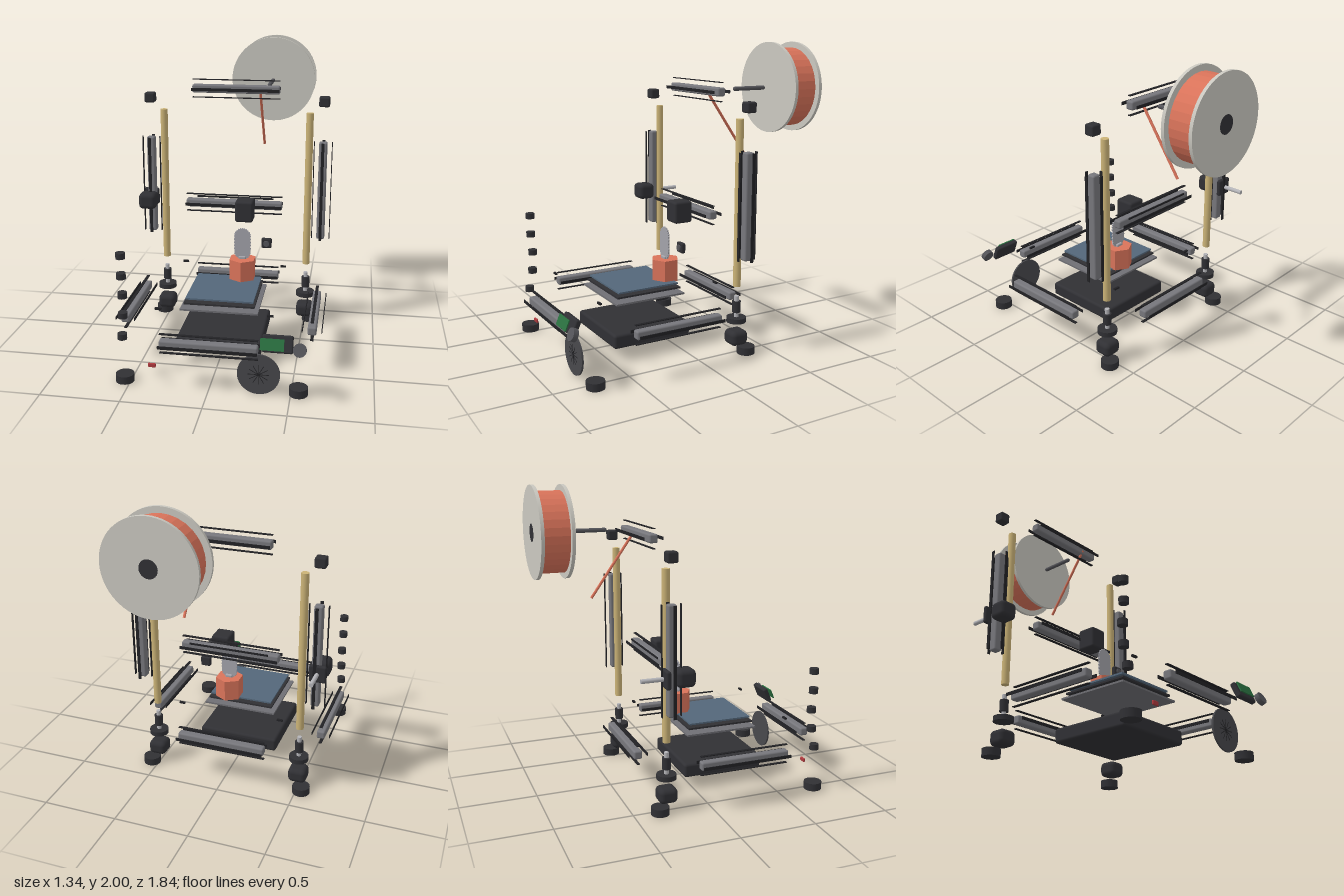
import * as THREE from 'three';
import { RoundedBoxGeometry } from 'three/addons/geometries/RoundedBoxGeometry.js';

const CX = 0.005; // centre line of the frame
const BED_Z = 0.21;
const POST_Z = -0.28;

const mat = (color, extra = {}) => new THREE.MeshStandardMaterial({ color, ...extra });
const M = {
  black: mat(0x303034),
  rail: mat(0x77777c),
  strip: mat(0x222225),
  steel: mat(0xb4b4b8),
  brass: mat(0xcbb377),
  orange: mat(0xd9735a, { flatShading: true }),
  flange: mat(0xcac8c0),
  plate: mat(0x6f6f74),
  glass: mat(0x53677a),
  green: mat(0x2a7040),
  red: mat(0xb03a3e),
  knob: mat(0x55555a),
  silver: mat(0xa3a3aa),
  disc: mat(0x48484c),
};

export function createModel() {
  const root = new THREE.Group();

  const add = (name, geometry, material, x, y, z, parent = root) => {
    const mesh = new THREE.Mesh(geometry, material);
    mesh.name = name;
    mesh.position.set(x, y, z);
    parent.add(mesh);
    return mesh;
  };
  const box = (name, w, h, d, material, x, y, z, parent) =>
    add(name, new THREE.BoxGeometry(w, h, d), material, x, y, z, parent);
  const soft = (name, w, h, d, r, material, x, y, z, parent) =>
    add(name, new RoundedBoxGeometry(w, h, d, 3, r), material, x, y, z, parent);
  // Cylinder along the chosen axis
  const rod = (name, r, length, axis, material, x, y, z, parent, sides = 24) => {
    const g = new THREE.CylinderGeometry(r, r, length, sides);
    if (axis === 'x') g.rotateZ(Math.PI / 2);
    if (axis === 'z') g.rotateX(Math.PI / 2);
    return add(name, g, material, x, y, z, parent);
  };

  // Frame rail with four slot strips floating off its sides
  const rail = (name, length, axis, x, y, z) => {
    const g = new THREE.Group();
    g.name = name;
    soft('railBody', length, 0.056, 0.056, 0.012, M.rail, 0, 0, 0, g);
    for (let i = 0; i < 4; i++) {
      const a = (i * Math.PI) / 2;
      const s = box('slotStrip', length, 0.005, 0.02, M.strip,
        0, 0.061 * Math.cos(a), 0.061 * Math.sin(a), g);
      s.rotation.x = a;
    }
    if (axis === 'y') g.rotation.z = Math.PI / 2;
    if (axis === 'z') g.rotation.y = Math.PI / 2;
    g.position.set(x, y, z);
    root.add(g);
  };
  rail('frontBaseRail', 0.6, 'x', CX, 0.31, 0.81);
  rail('backBaseRail', 0.6, 'x', CX, 0.31, -0.395);
  rail('topRail', 0.6, 'x', CX, 1.69, POST_Z);
  rail('gantryRail', 0.67, 'x', CX, 0.9, -0.205);
  box('gantryBelt', 0.54, 0.012, 0.006, M.strip, CX, 0.932, -0.25);

  // Both sides of the frame
  for (const s of [-1, 1]) {
    const x = CX + s * 0.6;
    const screwX = CX + s * 0.505;
    rail('sideBaseRail', 0.6, 'z', x, 0.31, BED_Z);
    rail('uprightRail', 0.69, 'y', x, 1.0, POST_Z);
    soft('cornerCap', 0.072, 0.068, 0.068, 0.012, M.black, x, 1.62, POST_Z);

    // Lift screw drive
    rod('liftScrew', 0.025, 1.08, 'y', M.brass, screwX, 1.0, POST_Z);
    rod('couplerShaft', 0.015, 0.145, 'y', M.steel, screwX, 0.322, POST_Z);
    rod('coupler', 0.028, 0.076, 'y', M.black, screwX, 0.322, POST_Z);
    rod('motorMount', 0.064, 0.032, 'y', M.black, screwX, 0.236, POST_Z);
    soft('liftMotor', 0.122, 0.098, 0.122, 0.032, M.black, screwX, 0.116, POST_Z);

    for (const z of [-0.335, 0.747])
      rod('foot', 0.058, 0.05, 'y', M.black, CX + s * 0.541, 0.03, z);
    for (const z of [-0.215, 0.625])
      box('bedClip', 0.04, 0.012, 0.014, M.strip, CX + s * 0.35, 0.451, z);
  }

  // Heated bed stack
  soft('bedBase', 0.555, 0.094, 0.555, 0.018, M.black, CX, 0.14, BED_Z);
  box('bedPlate', 0.505, 0.012, 0.495, M.plate, CX, 0.376, BED_Z);
  box('bedSheet', 0.46, 0.012, 0.46, M.black, CX, 0.413, BED_Z);
  box('bedGlass', 0.44, 0.011, 0.435, M.glass, CX, 0.441, BED_Z);

  // Print head
  soft('headCarriage', 0.122, 0.145, 0.13, 0.016, M.black, 0.096, 0.895, -0.093);
  rod('headBlock', 0.095, 0.145, 'y', M.orange, 0.096, 0.513, 0.017, root, 6);
  soft('paddleSocket', 0.05, 0.03, 0.036, 0.008, M.silver, 0.096, 0.588, 0.017);

  // Thin paddle with a rippled outline
  const outline = [];
  const steps = 96;
  for (let i = 0; i < steps; i++) {
    const a = (i / steps) * Math.PI * 2;
    const r = 0.055 + 0.003 * Math.cos(a * 24);
    outline.push(new THREE.Vector2(r * Math.cos(a), r * Math.sin(a) + (Math.sin(a) >= 0 ? 0.055 : -0.055)));
  }
  // Ripples along the straight sides, inserted between the two caps
  const side = (sx, dir) => Array.from({ length: 16 }, (_, k) => {
    const t = (k + 1) / 17;
    return new THREE.Vector2(sx * (0.055 + 0.003 * Math.cos(t * Math.PI * 10)), dir * (0.11 * t - 0.055));
  });
  const half = steps / 2;
  const loop = [...outline.slice(0, half + 1), ...side(-1, -1), ...outline.slice(half + 1), ...side(1, 1)];
  const paddle = new THREE.ExtrudeGeometry(new THREE.Shape(loop), { depth: 0.01, bevelEnabled: false });
  add('paddle', paddle, M.silver, 0.096, 0.688, 0.014);

  // Small sensor beside the head
  soft('sensor', 0.07, 0.068, 0.03, 0.01, M.black, 0.256, 0.693, -0.012);
  rod('sensorEye', 0.02, 0.012, 'z', M.knob, 0.256, 0.693, 0.006);

  // Feed drive on the left post
  soft('feedMotor', 0.122, 0.112, 0.12, 0.03, M.black, -0.608, 0.9, -0.205);
  soft('feedPlate', 0.11, 0.115, 0.03, 0.012, M.black, -0.612, 0.9, -0.32);
  rod('feedShaft', 0.014, 0.14, 'z', M.steel, -0.61, 0.9, -0.408);

  // Cable chain links
  [0.72, 0.72, 0.71, 0.715, 0.74].forEach((z, i) =>
    rod('chainLink', 0.03, 0.038, 'y', M.black, -0.546, 0.825 - i * 0.13, z, root, 12));

  // Tilted control panel
  const tilted = (mesh) => { mesh.rotation.x = -0.4; };
  tilted(soft('panelCase', 0.182, 0.105, 0.035, 0.01, M.black, 0.425, 0.381, 0.848));
  tilted(box('panelScreen', 0.14, 0.07, 0.008, M.green, 0.395, 0.39, 0.882));
  tilted(rod('panelKnob', 0.04, 0.032, 'z', M.knob, 0.557, 0.37, 0.888));

  // Front disc with radial slats
  const fan = new THREE.Group();
  fan.name = 'fanDisc';
  fan.position.set(0.305, 0.136, 0.777);
  root.add(fan);
  rod('disc', 0.131, 0.012, 'z', M.disc, 0, 0, 0, fan, 48);
  for (let i = 0; i < 6; i++)
    box('slat', 0.13, 0.004, 0.003, M.strip, 0, 0, 0.006, fan).rotation.z = (i * Math.PI) / 6;
  soft('powerSwitch', 0.048, 0.026, 0.014, 0.005, M.red, -0.356, 0.137, 0.77);

  // Filament spool on its holder
  const spool = new THREE.Group();
  spool.name = 'spool';
  spool.position.set(0.213, 1.7, -0.815);
  root.add(spool);
  rod('filamentRoll', 0.262, 0.18, 'z', M.orange, 0, 0, 0, spool, 32);
  for (const z of [-0.096, 0.096]) rod('spoolFlange', 0.3, 0.022, 'z', M.flange, 0, 0, z, spool, 64);
  rod('spoolHub', 0.058, 0.19, 'z', M.black, 0, 0, -0.0135, spool);
  const holder = new THREE.CapsuleGeometry(0.014, 0.225, 4, 16).rotateX(Math.PI / 2);
  add('spoolHolder', holder, M.knob, 0.215, 1.7, -0.555);

  // Loose filament strand
  const strand = new THREE.LineCurve3(new THREE.Vector3(0.173, 1.69, -0.252), new THREE.Vector3(0.173, 1.26, -0.555));
  add('filamentStrand', new THREE.TubeGeometry(strand, 1, 0.009, 10), M.orange, 0, 0, 0);

  return root;
}
